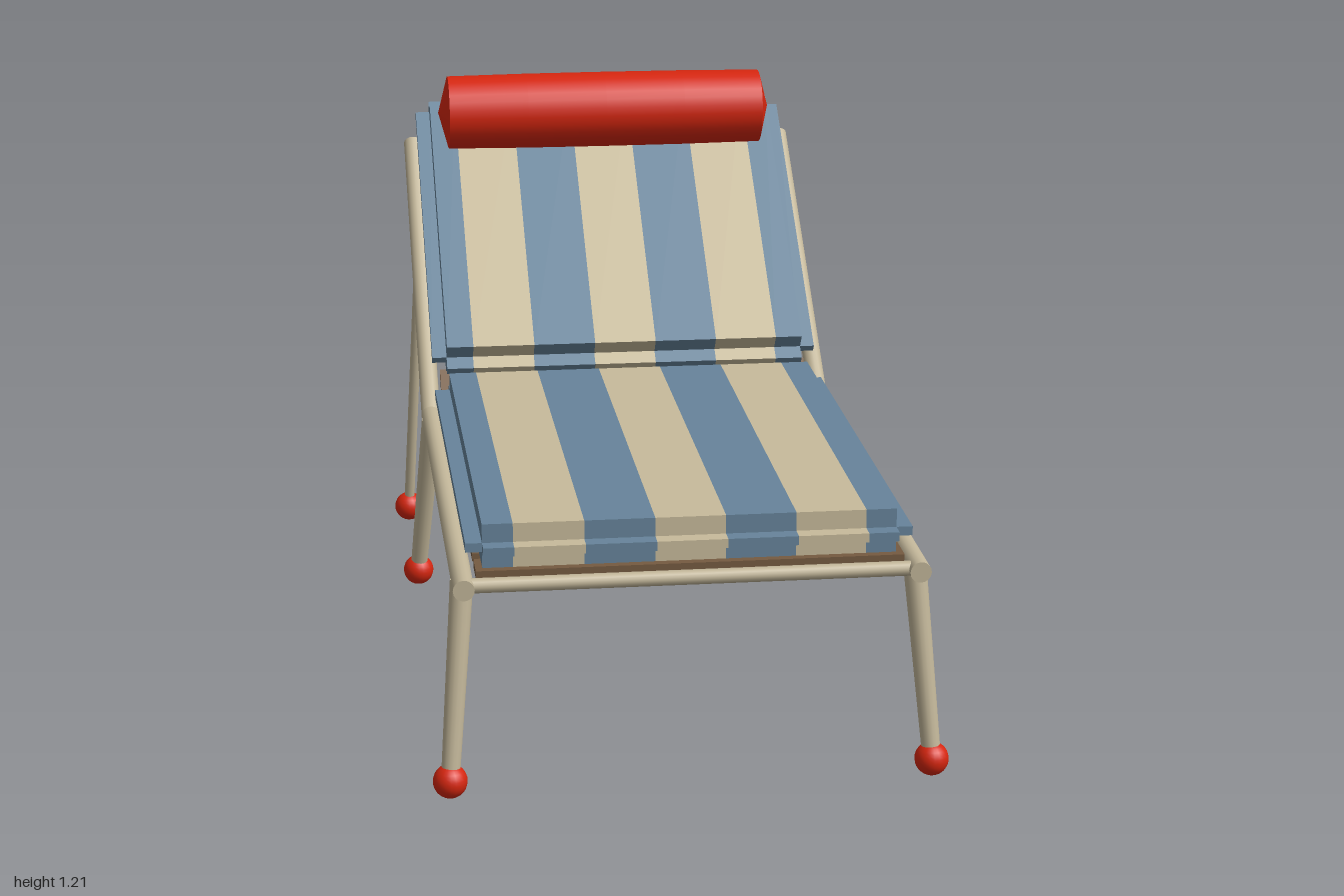
import * as THREE from 'three';

export function createModel() {
  const model = new THREE.Group();
  model.name = 'sunLounger';

  const material = (name, color) => {
    const m = new THREE.MeshStandardMaterial({ color });
    m.name = name;
    return m;
  };
  const frameTan = material('frameTan', 0xc2b699);
  const canvasTan = material('canvasTan', 0xc8bb9b);
  const canvasBlue = material('canvasBlue', 0x67849b);
  const slatBrown = material('slatBrown', 0x765b41);
  const red = material('red', 0xd6260f);

  const add = (parent, name, geometry, mat, x = 0, y = 0, z = 0) => {
    const mesh = new THREE.Mesh(geometry, mat);
    mesh.name = name;
    mesh.position.set(x, y, z);
    parent.add(mesh);
    return mesh;
  };

  // Round bar from a to b, optionally tapered
  const bar = (parent, name, a, b, r0, r1 = r0) => {
    const from = new THREE.Vector3(...a), to = new THREE.Vector3(...b);
    const dir = to.clone().sub(from);
    const mesh = add(parent, name, new THREE.CylinderGeometry(r1, r0, dir.length(), 16), frameTan);
    mesh.position.copy(from).add(to).multiplyScalar(0.5);
    mesh.quaternion.setFromUnitVectors(new THREE.Vector3(0, 1, 0), dir.normalize());
  };

  const RAIL_X = 0.483, RAIL_R = 0.023, RAIL_Y = 0.465, HINGE_Z = -0.29;
  const HALF = 0.44, EDGE = 0.035;

  // Striped layer: blue edges, alternating tan and blue across x
  const stripes = (parent, name, y, height, z, length) => {
    const cuts = [-HALF, -0.375, -0.225, -0.075, 0.075, 0.225, 0.375, HALF];
    for (let i = 0; i < 7; i++) {
      const w = cuts[i + 1] - cuts[i];
      add(parent, name, new THREE.BoxGeometry(w, height, length),
        i % 2 ? canvasTan : canvasBlue, cuts[i] + w / 2, y, z);
    }
  };

  // Cushion body with a flat flange around its middle, open at the corners
  const cushion = (parent, name, z0, z1) => {
    const group = new THREE.Group();
    group.name = name;
    const z = (z0 + z1) / 2, length = z1 - z0;
    stripes(group, 'cushionBody', 0.0755, 0.097, z, length);
    for (const s of [-1, 1]) {
      add(group, 'sideFlange', new THREE.BoxGeometry(EDGE, 0.02, length), canvasBlue,
        s * (HALF + EDGE / 2), 0.073, z);
      stripes(group, 'endFlange', 0.073, 0.02, z + s * (length + EDGE) / 2, EDGE);
    }
    parent.add(group);
  };

  const slats = (parent, count, z0, z1, width) => {
    for (let i = 0; i < count; i++) {
      add(parent, 'slat', new THREE.BoxGeometry(0.91, 0.017, width), slatBrown,
        0, 0.019, z0 + (z1 - z0) * i / (count - 1));
    }
  };

  // Seat section
  const seat = new THREE.Group();
  seat.name = 'seat';
  seat.position.y = RAIL_Y;
  model.add(seat);
  cushion(seat, 'seatCushion', -0.22, 0.91);
  slats(seat, 11, -0.22, 0.89, 0.078);
  bar(seat, 'frontCrossbar', [-RAIL_X, 0, 0.94], [RAIL_X, 0, 0.94], 0.016);
  bar(seat, 'hingeCrossbar', [-RAIL_X, 0, HINGE_Z], [RAIL_X, 0, HINGE_Z], 0.016);

  // Reclined back section, hinged at the end of the seat rails
  const back = new THREE.Group();
  back.name = 'backrest';
  back.position.set(0, RAIL_Y, HINGE_Z);
  back.rotation.x = 0.66;
  model.add(back);
  cushion(back, 'backCushion', -0.905, -0.111);
  slats(back, 8, -0.82, -0.08, 0.072);
  bar(back, 'topCrossbar', [-RAIL_X, 0, -0.86], [RAIL_X, 0, -0.86], 0.016);
  bar(back, 'propCrossbar', [-RAIL_X, -0.03, -0.37], [RAIL_X, -0.03, -0.37], 0.016);

  // Rails, legs and ball feet on both sides
  const footGeometry = new THREE.SphereGeometry(0.037, 20, 14);
  for (const s of [-1, 1]) {
    const x = s * RAIL_X, footX = s * 0.518;
    bar(seat, 'seatRail', [x, 0, 0.97], [x, 0, HINGE_Z], RAIL_R);
    bar(back, 'backRail', [x, 0, 0.01], [x, 0, -0.873], RAIL_R);
    bar(model, 'frontLeg', [x, RAIL_Y, 0.9], [footX, 0.037, 0.965], 0.025, 0.02);
    bar(model, 'middleLeg', [x, RAIL_Y, -0.243], [footX, 0.037, -0.363], 0.025, 0.02);
    bar(model, 'propLeg', [x, 0.785, -0.71], [footX, 0.037, -0.865], 0.013);
    for (const z of [0.963, -0.363, -0.865]) {
      add(model, 'foot', footGeometry, red, footX, 0.037, z);
    }
  }

  // Headrest bolster: slightly bulged roll with shallow conical ends
  const roll = [[0.092, -0.4], [0.0945, -0.2], [0.095, 0], [0.0945, 0.2], [0.092, 0.4]]
    .map(([r, y]) => new THREE.Vector2(r, y));
  const bolster = new THREE.Group();
  bolster.name = 'bolster';
  bolster.position.set(0, 1.115, -0.797);
  bolster.rotation.z = -Math.PI / 2;
  model.add(bolster);
  add(bolster, 'bolsterRoll', new THREE.LatheGeometry(roll, 28), red);
  for (const s of [-1, 1]) {
    const cap = add(bolster, 'bolsterEnd',
      new THREE.ConeGeometry(0.092, 0.025, 28, 1, true), red, 0, s * 0.4125, 0);
    if (s < 0) cap.rotation.x = Math.PI;
  }

  return model;
}
